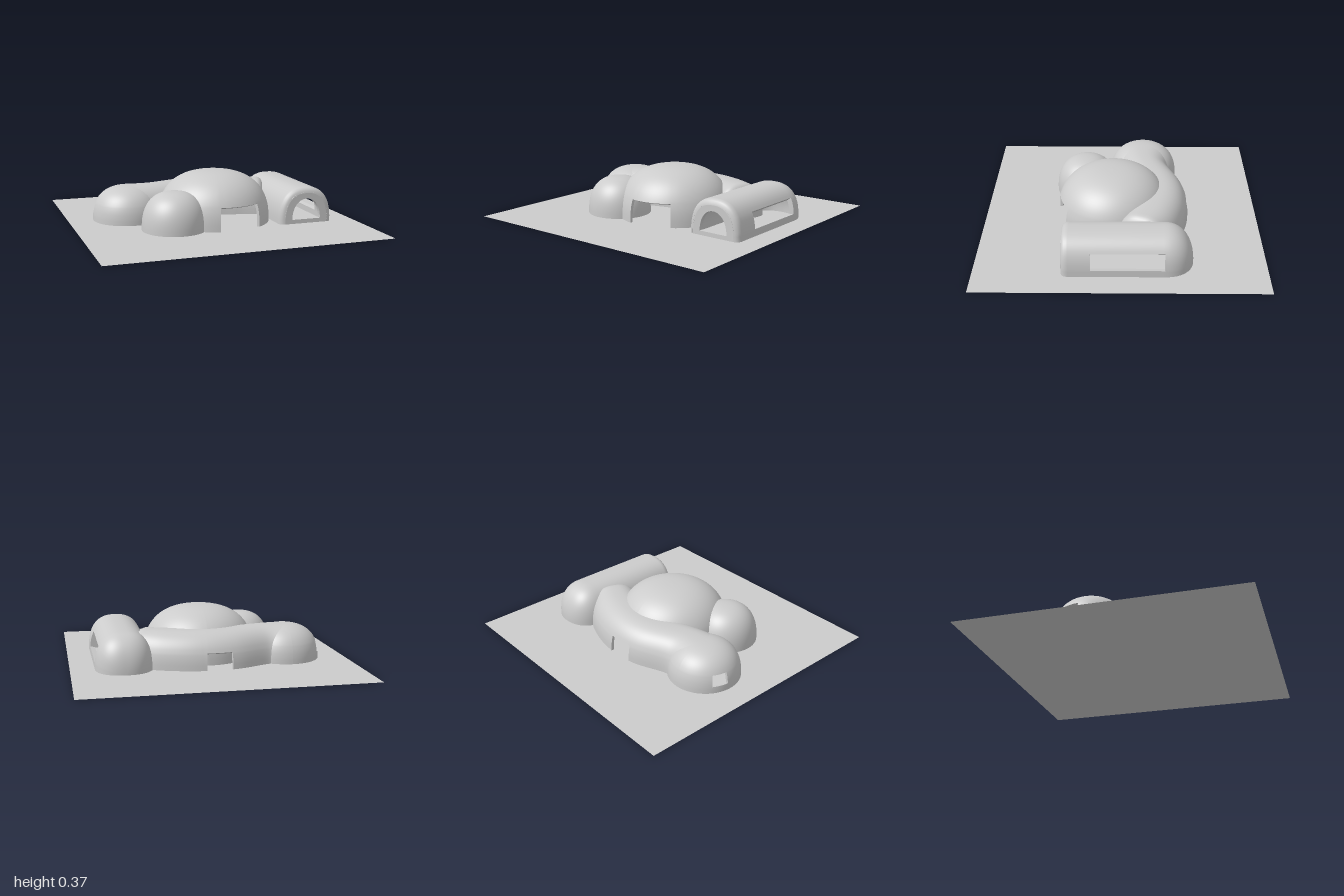
import * as THREE from 'three';

const E = 0.8; // exponent that gives the domes their full shoulders
const pw = (a) => Math.sign(a) * Math.pow(Math.abs(a), E);
const rise = (y, h) => Math.asin(Math.pow(y / h, 1 / E)); // angle at which a profile reaches y

// Evenly spaced grid lines, with extra ones placed exactly on the hole borders
function gridLines(a, b, n, cuts) {
  const step = (b - a) / n;
  const lines = [];
  for (let i = 0; i <= n; i++) {
    const q = a + i * step;
    if (i === 0 || i === n || cuts.every((c) => Math.abs(c - q) > step * 0.4)) lines.push(q);
  }
  for (const c of cuts) if (c > a + 1e-6 && c < b - 1e-6) lines.push(c);
  return lines.sort((p, q) => p - q);
}

// Walled shell over a (u, v) grid: outer skin, inner skin and reveals round each hole.
// at(u, v, t) gives the point at depth t; a hole is [u0, u1, v0, v1].
function shell(name, material, at, [u0, u1, nu], [v0, v1, nv], t, holes = []) {
  const us = gridLines(u0, u1, nu, holes.flatMap((h) => [h[0], h[1]]));
  const vs = gridLines(v0, v1, nv, holes.flatMap((h) => [h[2], h[3]]));
  const pos = [], idx = [];
  for (const d of [0, t]) for (const u of us) for (const v of vs) pos.push(...at(u, v, d));
  const N = us.length * vs.length;
  const id = (i, j, inner) => inner * N + i * vs.length + j;
  const open = (i, j) => {
    const u = (us[i] + us[i + 1]) / 2, v = (vs[j] + vs[j + 1]) / 2;
    return holes.some((h) => u > h[0] && u < h[1] && v > h[2] && v < h[3]);
  };
  const inside = (i, j) => i >= 0 && j >= 0 && i < us.length - 1 && j < vs.length - 1;
  const quad = (a, b, c, d) => idx.push(a, b, c, a, c, d);
  const reveal = (i, j, k, l) => {
    const base = pos.length / 3;
    for (const q of [id(i, j, 0), id(k, l, 0), id(k, l, 1), id(i, j, 1)]) {
      pos.push(pos[q * 3], pos[q * 3 + 1], pos[q * 3 + 2]);
    }
    quad(base, base + 1, base + 2, base + 3);
  };
  for (let i = 0; i < us.length - 1; i++) for (let j = 0; j < vs.length - 1; j++) {
    if (!open(i, j)) {
      quad(id(i, j, 0), id(i + 1, j, 0), id(i + 1, j + 1, 0), id(i, j + 1, 0));
      quad(id(i, j, 1), id(i, j + 1, 1), id(i + 1, j + 1, 1), id(i + 1, j, 1));
      continue;
    }
    const sides = [[-1, 0, i, j, i, j + 1], [1, 0, i + 1, j + 1, i + 1, j],
      [0, -1, i + 1, j, i, j], [0, 1, i, j + 1, i + 1, j + 1]];
    for (const [di, dj, ...e] of sides) {
      if (inside(i + di, j + dj) && !open(i + di, j + dj)) reveal(...e);
    }
  }
  const g = new THREE.BufferGeometry();
  g.setAttribute('position', new THREE.Float32BufferAttribute(pos, 3));
  g.setIndex(idx);
  g.computeVertexNormals();
  const mesh = new THREE.Mesh(g, material);
  mesh.name = name;
  return mesh;
}

// Round dome; u is the heading (0 = +z, growing towards +x), v the rise
function dome(name, material, x, z, r, h, openings = []) {
  const at = (u, v, t) => {
    const k = (r - t) * pw(Math.max(0, Math.cos(v)));
    return [x + k * Math.sin(u), (h - t) * pw(Math.sin(v)), z + k * Math.cos(u)];
  };
  const holes = openings.map(([a, b, y0, y1]) => [a, b, y0 ? rise(y0, h) : 0, rise(y1, h)]);
  return shell(name, material, at, [-Math.PI, Math.PI, 72], [0, Math.PI / 2, 22], 0.02, holes);
}

export function createModel() {
  const model = new THREE.Group();
  const grey = new THREE.MeshStandardMaterial({ color: 0xcccccc, side: THREE.DoubleSide });

  // Ground
  const ground = new THREE.Mesh(new THREE.PlaneGeometry(2, 2).rotateX(-Math.PI / 2), grey);
  ground.name = 'ground';
  model.add(ground);

  // Domes: the main one has a wide front door, the end one a small window
  model.add(
    dome('mainDome', grey, 0.03, 0.06, 0.41, 0.37, [[-0.2, 0.6, 0, 0.165]]),
    dome('smallDome', grey, -0.33, 0.265, 0.23, 0.27),
    dome('endDome', grey, -0.56, -0.17, 0.258, 0.25, [[-2.1, -1.65, 0.05, 0.13]]),
  );

  // Curved passage behind the main dome: spine points hold x, half-width, z
  const spine = new THREE.CatmullRomCurve3([
    [-0.57, 0.25, -0.17], [-0.37, 0.2, -0.185], [-0.1, 0.217, -0.265],
    [0.1, 0.215, -0.275], [0.3, 0.21, -0.225], [0.45, 0.19, -0.16],
  ].map((p) => new THREE.Vector3(...p)), false, 'catmullrom', 0.5);
  const passage = (u, v, t) => {
    const s = Math.min(v, 1);
    const p = spine.getPoint(s), d = spine.getTangent(s).setY(0).normalize();
    // Past the spine's end the section closes in a blunt cap
    const a = Math.max(0, v - 1) * 5 * Math.PI / 2;
    const scale = pw(Math.max(0, Math.cos(a)));
    p.addScaledVector(d, (0.09 - t) * pw(Math.sin(a)));
    const w = (p.y - t) * scale * pw(Math.cos(u));
    return [p.x + d.z * w, (0.25 - t) * scale * pw(Math.max(0, Math.sin(u))), p.z - d.x * w];
  };
  model.add(shell('curvedPassage', grey, passage, [0, Math.PI, 36], [0, 1.2, 72], 0.02,
    [[0, rise(0.12, 0.25), 0.42, 0.56]]));

  // Long hall: rounded back end, straight body, softened front edge
  const X = 0.625, W = 0.203, H = 0.26, wall = 0.035;
  const hall = (u, v, t) => {
    let z = v, w = W - t, h = H - t;
    if (v < -0.3) {
      const a = Math.min(1, (-0.3 - v) / 0.2) * Math.PI / 2;
      const k = Math.pow(Math.max(0, Math.cos(a)), 0.9);
      z = -0.3 - (0.2 - t) * Math.pow(Math.sin(a), 0.9);
      w *= k;
      h *= k;
    } else if (v > 0.36 && t === 0) {
      const a = (v - 0.36) / 0.04 * Math.PI / 2;
      z = 0.36 + 0.04 * Math.sin(a);
      w -= 0.04 * (1 - Math.cos(a));
      h -= 0.04 * (1 - Math.cos(a));
    }
    return [X + w * pw(Math.cos(u)), h * pw(Math.max(0, Math.sin(u))), z];
  };
  model.add(shell('longHall', grey, hall, [0, Math.PI, 36], [-0.5, 0.4, 90], wall,
    [[rise(0.05, H), rise(0.165, H), -0.3, 0.2]]));

  // Front wall of the hall with its arched doorway
  const arch = (w, h, y, e) => Array.from({ length: 33 }, (_, i) => {
    const a = i / 32 * Math.PI, c = Math.cos(a);
    return new THREE.Vector2(w * Math.sign(c) * Math.abs(c) ** e,
      y + h * Math.max(0, Math.sin(a)) ** e);
  });
  const face = new THREE.Shape(arch(W - 0.04, H - 0.04, 0, E));
  face.holes.push(new THREE.Path(arch(0.11, 0.15, 0.03, 0.95)));
  const front = new THREE.Mesh(
    new THREE.ExtrudeGeometry(face, { depth: wall, bevelEnabled: false }), grey);
  front.position.set(X, 0, 0.4 - wall);
  front.name = 'hallFrontWall';
  model.add(front);

  return model;
}
